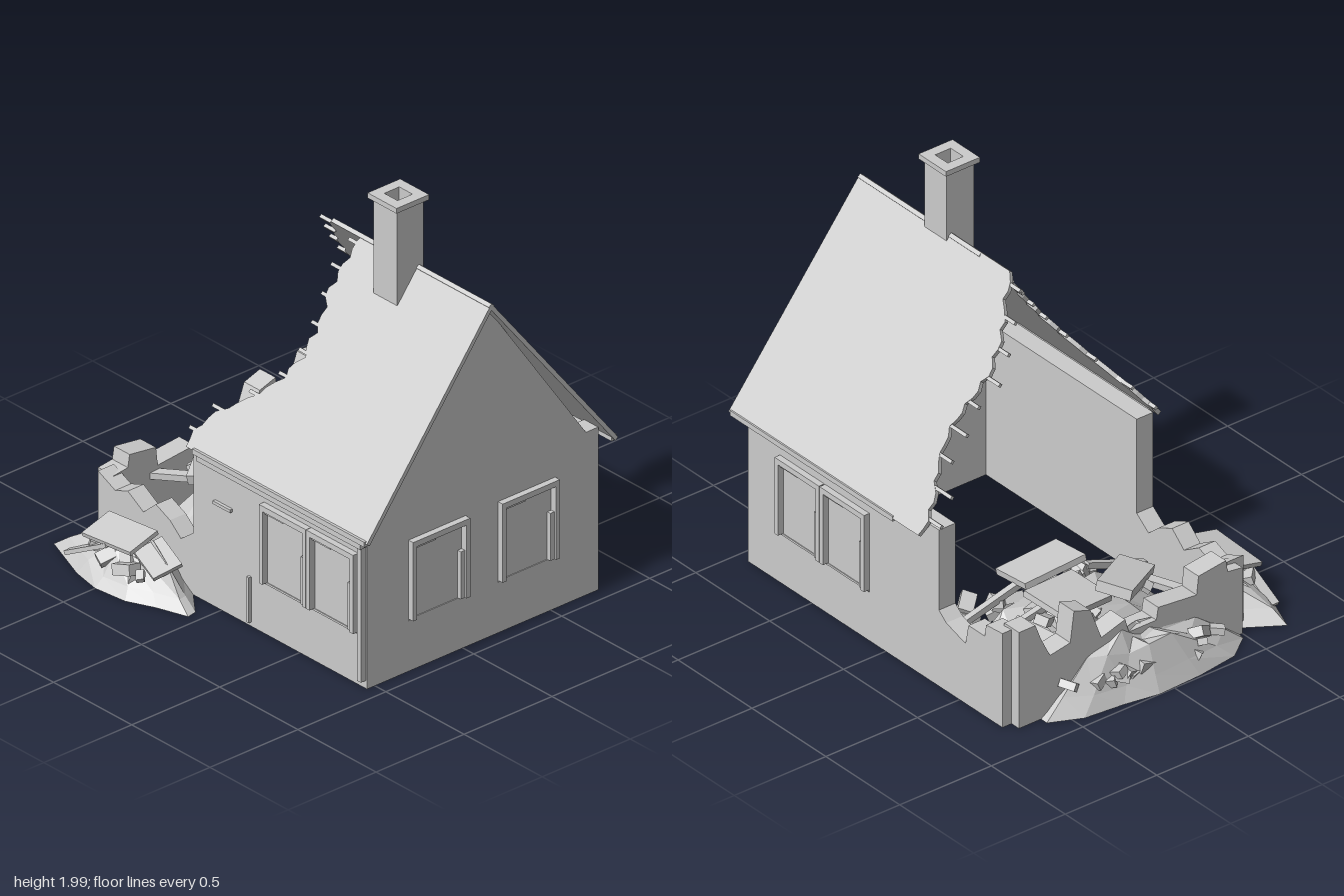
import * as THREE from 'three';

export function createModel() {
  const house = new THREE.Group();
  house.name = 'ruinedHouse';
  const grey = new THREE.MeshStandardMaterial({ color: 0xcccccc, side: THREE.DoubleSide });
  grey.name = 'plainGrey';

  let seed = 7;
  const rand = (a = 0, b = 1) => {
    seed = (seed * 16807) % 2147483647;
    return a + (b - a) * (seed / 2147483647);
  };
  const add = (name, geo, parent = house) => {
    const m = new THREE.Mesh(geo, grey);
    m.name = name;
    parent.add(m);
    return m;
  };
  // Box from its min and max corners
  const block = (name, x0, x1, y0, y1, z0, z1, parent = house) => {
    const m = add(name, new THREE.BoxGeometry(x1 - x0, y1 - y0, z1 - z0), parent);
    m.position.set((x0 + x1) / 2, (y0 + y1) / 2, (z0 + z1) / 2);
    return m;
  };
  const slab = (name, w, h, d, x, y, z, rx = 0, ry = 0, rz = 0) => {
    const m = add(name, new THREE.BoxGeometry(w, h, d));
    m.position.set(x, y, z);
    m.rotation.set(rx, ry, rz, 'YXZ');
    return m;
  };
  const shapeOf = pts => new THREE.Shape(pts.map(p => new THREE.Vector2(...p)));
  const extrude = (shape, depth) => new THREE.ExtrudeGeometry(shape, { depth, bevelEnabled: false });

  // Front and back walls, broken down to low stubs on the left
  add('frontWall', extrude(shapeOf([[0.93, 0], [0.93, 0.77], [-0.18, 0.77], [-0.18, 0.3], [-0.26, 0.24],
    [-0.33, 0.3], [-0.42, 0.34], [-0.5, 0.27], [-0.6, 0.33], [-0.68, 0.3], [-0.79, 0.35], [-0.79, 0]]), 0.09))
    .position.z = 0.455;
  add('backWall', extrude(shapeOf([[0.93, 0], [0.93, 0.78], [-0.36, 0.78], [-0.36, 0.38], [-0.41, 0.34],
    [-0.54, 0.3], [-0.56, 0.4], [-0.67, 0.4], [-0.68, 0.46], [-0.79, 0.47], [-0.79, 0]]), 0.09))
    .position.z = -0.77;

  // End walls: shape x runs along z
  const endWall = (name, pts, x, depth) => {
    const m = add(name, extrude(shapeOf(pts), depth));
    m.rotation.y = -Math.PI / 2;
    m.position.x = x;
  };
  endWall('gableWall', [[-0.77, 0], [0.545, 0], [0.545, 0.77], [0.5, 0.77], [-0.11, 1.64],
    [-0.7, 0.79], [-0.77, 0.79]], 0.93, 0.09);
  endWall('brokenLeftWall', [[-0.72, 0], [0.5, 0], [0.5, 0.33], [0.42, 0.34], [0.41, 0.4], [0.26, 0.38],
    [0.25, 0.29], [0.04, 0.31], [0.03, 0.25], [-0.12, 0.25], [-0.14, 0.32], [-0.27, 0.28], [-0.33, 0.44],
    [-0.42, 0.47], [-0.44, 0.32], [-0.55, 0.3], [-0.6, 0.4], [-0.63, 0.48], [-0.72, 0.48]], -0.74, 0.1);

  // Roof slopes with a torn left edge [x, y] and battens poking out
  const roofSide = (name, eaveZ, edge, stick) => {
    const run = Math.abs(eaveZ + 0.11), rise = 0.91, len = Math.hypot(run, rise);
    const front = eaveZ > 0, toS = y => ((y - 0.745) / rise) * len;
    const g = new THREE.Group();
    g.name = name;
    g.position.set(0, 0.745, eaveZ);
    g.rotation.x = (front ? -1 : 1) * Math.atan2(run, rise);
    house.add(g);
    const edgeX = y => {
      let i = 0;
      while (i < edge.length - 2 && y > edge[i + 1][1]) i++;
      const [a, b] = [edge[i], edge[i + 1]];
      return a[0] + ((b[0] - a[0]) * (y - a[1])) / (b[1] - a[1]);
    };
    const pts = [[0.99, len], [0.99, 0]];
    for (let i = 0; i <= 30; i++) {
      const y = 0.745 + (rise * i) / 30;
      pts.push([edgeX(y) + (i % 3 === 0 ? 0.012 : -0.008) + rand(-0.008, 0.008), toS(y)]);
    }
    const z0 = front ? -0.02 : 0;
    add('roofPanel', extrude(shapeOf(pts), 0.02), g).position.z = z0;
    for (let k = 0; k < 9; k++) {
      const y = 0.81 + k * 0.101, x = edgeX(y), s = toS(y);
      block('batten', x - stick * rand(0.5, 1.1), x + 0.1, s - 0.008, s + 0.008, z0 + 0.002, z0 + 0.018, g);
    }
  };
  roofSide('frontRoof', 0.6, [[-0.17, 0.74], [-0.16, 0.82], [-0.1, 0.9], [0, 0.97], [0.12, 1.08], [0.185, 1.19],
    [0.18, 1.32], [0.14, 1.45], [0.16, 1.66]], 0.06);
  roofSide('backRoof', -0.83, [[-0.31, 0.74], [-0.27, 0.88], [-0.2, 0.97], [-0.16, 1.06], [-0.17, 1.2],
    [-0.2, 1.33], [-0.15, 1.48], [-0.08, 1.56], [-0.03, 1.66]], 0.1);

  // Gutters, downpipe and small front fittings
  block('frontGutter', -0.12, 0.98, 0.73, 0.755, 0.57, 0.605);
  block('backGutter', -0.12, 0.98, 0.73, 0.755, -0.83, -0.8);
  block('gutterBoard', -0.12, 0.93, 0.69, 0.73, 0.545, 0.585);
  block('downpipe', 0.9, 0.925, 0.04, 0.72, 0.545, 0.575);
  block('wallVent', -0.04, 0.07, 0.505, 0.52, 0.545, 0.56);
  block('wallPost', 0.175, 0.19, 0.02, 0.24, 0.545, 0.56);

  // Chimney: hollow stack and cap
  const squareTube = (w, hole, h) => {
    const sq = r => [[-r, -r], [r, -r], [r, r], [-r, r]];
    const s = shapeOf(sq(w / 2));
    s.holes.push(new THREE.Path(sq(hole / 2).reverse().map(p => new THREE.Vector2(...p))));
    return extrude(s, h).rotateX(-Math.PI / 2);
  };
  add('chimneyStack', squareTube(0.15, 0.085, 0.47)).position.set(0.45, 1.5, -0.06);
  add('chimneyCap', squareTube(0.185, 0.085, 0.025)).position.set(0.45, 1.96, -0.06);

  // Window surrounds, each facing local +z
  const windowFrame = (w, x, z, turn) => {
    const g = new THREE.Group();
    g.name = 'windowFrame';
    g.position.set(x, 0, z);
    g.rotation.y = turn;
    house.add(g);
    const r = w / 2;
    block('frameHead', -r, r, 0.61, 0.637, 0, 0.03, g);
    for (const s of [-1, 1]) block('frameJamb', s * (r - 0.011) - 0.011, s * (r - 0.011) + 0.011, 0.255, 0.61, 0, 0.03, g);
    block('shutterRail', -r + 0.022, -r + 0.14, 0.595, 0.61, 0, 0.018, g);
    block('sashBar', r - 0.045, r - 0.022, 0.255, 0.485, 0, 0.02, g);
    block('sill', -r, r, 0.245, 0.255, 0, 0.004, g);
  };
  for (const x of [0.422, 0.724]) windowFrame(0.3, x, 0.545, 0);
  for (const x of [0.26, 0.565]) windowFrame(0.3, x, -0.77, Math.PI);
  for (const z of [0.147, -0.362]) windowFrame(0.325, 0.93, z, Math.PI / 2);

  // Rubble heaps: faceted rings shrinking from a ragged outline to a peak
  const heap = (name, outline, cx, cz, height) => {
    const rings = [[1, 0], [0.82, 0.28], [0.55, 0.68], [0.28, 0.9], [0, 1]], n = outline.length;
    const pos = [], idx = [];
    for (const [k, h] of rings) for (const [x, z] of outline) {
      const j = k > 0 && k < 1 ? 1 : 0;
      pos.push(cx + (x - cx) * k, height * h * (1 + j * rand(-0.25, 0.2)), cz + (z - cz) * k);
    }
    for (let r = 0; r < rings.length - 1; r++) for (let i = 0; i < n; i++) {
      const a = r * n + i, b = r * n + ((i + 1) % n);
      idx.push(a, a + n, b, b, a + n, b + n);
    }
    const g = new THREE.BufferGeometry();
    g.setAttribute('position', new THREE.Float32BufferAttribute(pos, 3));
    g.setIndex(idx);
    const flat = g.toNonIndexed();
    flat.computeVertexNormals();
    add(name, flat);
  };
  heap('innerHeap', [[-0.74, -0.5], [-0.6, -0.63], [-0.42, -0.66], [-0.25, -0.62], [-0.17, -0.5], [-0.16, -0.28],
    [-0.04, -0.1], [-0.08, 0.03], [-0.1, 0.2], [-0.2, 0.3], [-0.42, 0.41], [-0.6, 0.35], [-0.74, 0.25]]
    .reverse(), -0.46, -0.15, 0.3);
  heap('leftHeap', [[-0.76, -0.6], [-0.88, -0.6], [-0.95, -0.45], [-0.97, -0.25], [-1, -0.08], [-0.99, 0.15],
    [-0.96, 0.36], [-0.87, 0.48], [-0.76, 0.5], [-0.76, 0]], -0.8, -0.05, 0.26);
  heap('frontHeap', [[-0.8, 0.52], [-0.91, 0.69], [-0.78, 0.74], [-0.65, 0.79], [-0.5, 0.82], [-0.33, 0.8],
    [-0.2, 0.74], [-0.05, 0.69], [-0.06, 0.64], [-0.2, 0.53], [-0.5, 0.52]], -0.48, 0.58, 0.2);

  // Large fallen slabs and timbers
  slab('fallenSlab', 0.24, 0.03, 0.3, -0.55, 0.33, -0.22, 0.1, 0.15, 0.12);
  slab('fallenSlab', 0.22, 0.03, 0.32, -0.32, 0.36, -0.18, -0.1, -0.05, -0.15);
  slab('fallenSlab', 0.16, 0.05, 0.34, -0.59, 0.33, 0.06, 0.2, 0.6, 0.15);
  slab('fallenSlab', 0.2, 0.03, 0.22, -0.6, 0.22, -0.5, -0.3, 0.3, 0.2);
  slab('fallenSlab', 0.3, 0.02, 0.17, -0.52, 0.2, 0.66, 0.25, 0.05, 0.08);
  slab('fallenSlab', 0.18, 0.02, 0.14, -0.3, 0.16, 0.64, 0.3, -0.3, -0.3);
  slab('fallenBeam', 0.03, 0.03, 0.4, -0.34, 0.3, -0.42, -0.25, 0);
  slab('fallenBeam', 0.03, 0.03, 0.4, -0.52, 0.28, -0.43, -0.2, 0);
  slab('fallenBeam', 0.03, 0.03, 0.34, -0.34, 0.22, 0.21, 0.35, 0);
  slab('fallenBeam', 0.36, 0.03, 0.05, -0.6, 0.27, 0.19, 0, 0.5, 0.1);
  slab('fallenBeam', 0.3, 0.02, 0.05, -0.65, 0.1, 0.72, 0, 0, 0.5);

  // Scattered bricks and chunks
  const scatter = (count, x0, x1, z0, z1, y0, y1) => {
    for (let i = 0; i < count; i++) {
      const s = rand(0.035, 0.08);
      slab('rubbleChunk', s * 1.4, s * 0.7, s, rand(x0, x1), rand(y0, y1), rand(z0, z1),
        rand(-0.6, 0.6), rand(0, 3), rand(-0.6, 0.6));
    }
  };
  scatter(14, -0.65, -0.2, -0.56, -0.3, 0.14, 0.27);
  scatter(12, -0.65, -0.18, -0.3, 0.2, 0.2, 0.3);
  scatter(14, -0.92, -0.86, -0.48, 0.38, 0.06, 0.15);
  scatter(12, -0.75, -0.22, 0.6, 0.75, 0.06, 0.15);

  return house;
}
